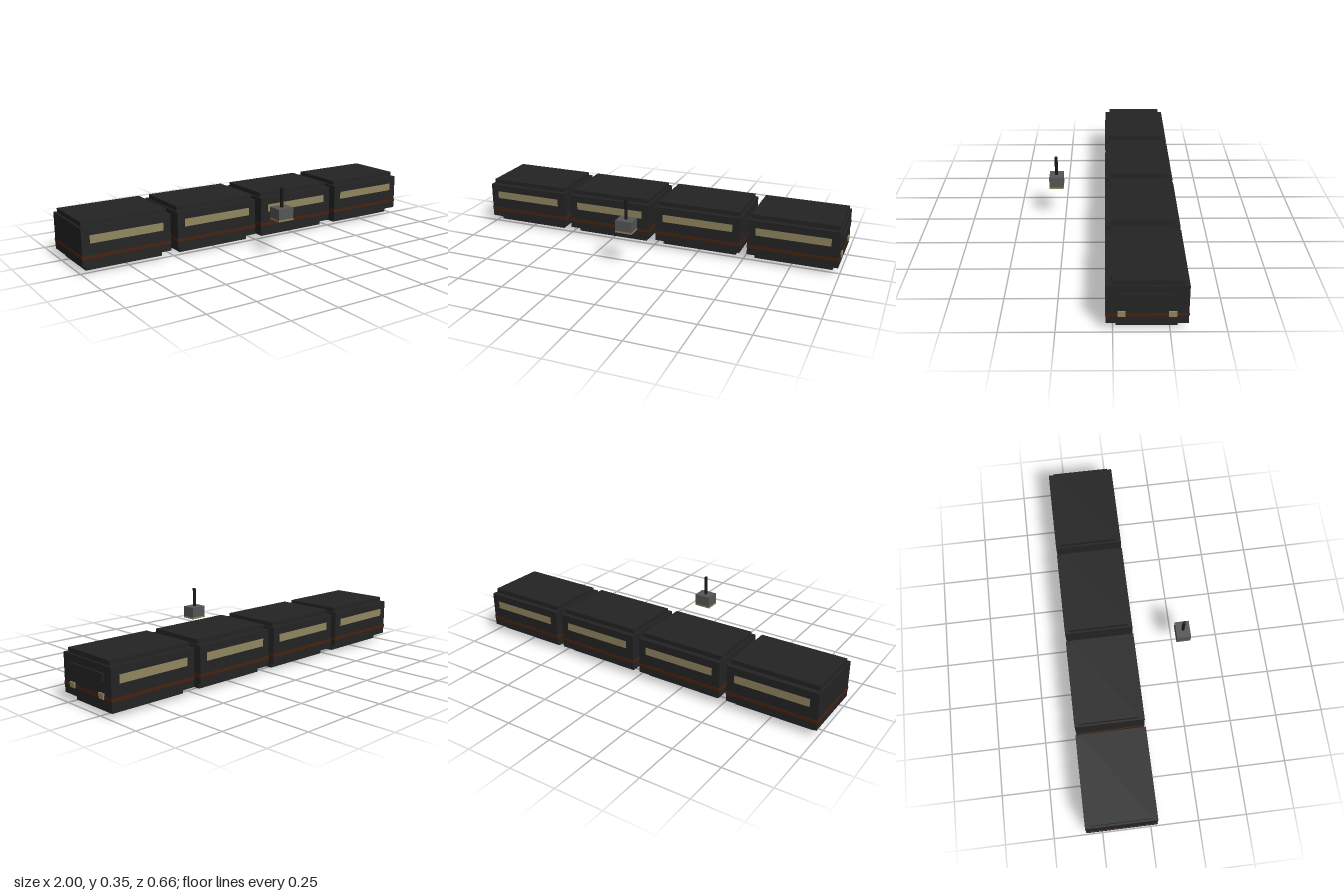
import * as THREE from 'three';

const mat = (name, color) => {
  const m = new THREE.MeshStandardMaterial({ color });
  m.name = name;
  return m;
};

export function createModel() {
  const body = mat('charcoal body', 0x242424);
  const black = mat('black metal', 0x191919);
  const glow = mat('warm glass', 0x90865f);
  const rust = mat('rust stripe', 0x4a210d);
  const grey = mat('lamp grey', 0x565656);

  const model = new THREE.Group();
  model.name = 'trainAndLamp';

  const box = (parent, name, material, w, h, d, x, y, z) => {
    const mesh = new THREE.Mesh(new THREE.BoxGeometry(w, h, d), material);
    mesh.name = name;
    mesh.position.set(x, y, z);
    parent.add(mesh);
    return mesh;
  };

  // Window strips glow only on their outward faces
  const windowMaterials = [body, body, body, body, glow, glow];
  const wheelGeometry = new THREE.CylinderGeometry(0.022, 0.022, 0.01, 12).rotateX(Math.PI / 2);

  // One carriage, centred on its own x and z
  function makeCarriage(isLead) {
    const car = new THREE.Group();
    car.name = isLead ? 'leadCarriage' : 'carriage';
    box(car, 'body', body, 0.468, 0.191, 0.36, 0, 0.1375, 0);
    box(car, 'roof', body, 0.449, 0.024, 0.309, 0, 0.245, 0);
    box(car, 'underframe', body, 0.406, 0.034, 0.272, 0, 0.025, 0);
    box(car, 'stripe', rust, 0.472, 0.015, 0.364, 0, 0.0865, 0);
    for (const side of [-1, 1]) {
      box(car, 'windowStrip', windowMaterials, 0.385, 0.041, 0.006, 0, 0.174, side * 0.179);
    }
    // Wheels barely show below the underframe
    for (const x of [-0.163, 0.163]) {
      for (const z of [-0.053, 0.053]) {
        const wheel = new THREE.Mesh(wheelGeometry, black);
        wheel.name = 'wheel';
        wheel.position.set(x, 0.022, z);
        car.add(wheel);
      }
    }
    // Cab fittings on the leading end
    if (isLead) {
      box(car, 'windscreen', body, 0.009, 0.037, 0.252, 0.238, 0.1785, 0);
      for (const z of [-0.11, 0.111]) {
        box(car, 'headlight', glow, 0.009, 0.026, 0.036, 0.237, 0.0925, z);
      }
    }
    return car;
  }

  for (let i = 0; i < 4; i++) {
    const car = makeCarriage(i === 3);
    car.position.set(-0.764 + i * 0.5075, 0, -0.149);
    model.add(car);
  }

  // Hanging lamp beside the train
  const lamp = new THREE.Group();
  lamp.name = 'hangingLamp';
  lamp.position.set(-0.038, 0, 0.2935);
  box(lamp, 'housing', grey, 0.089, 0.056, 0.075, 0, 0.224, 0);
  box(lamp, 'lens', glow, 0.09, 0.009, 0.076, 0, 0.1915, 0);
  const rod = new THREE.Mesh(new THREE.CylinderGeometry(0.0085, 0.0085, 0.102, 8), black);
  rod.name = 'rod';
  rod.position.y = 0.303;
  lamp.add(rod);
  model.add(lamp);

  return model;
}
